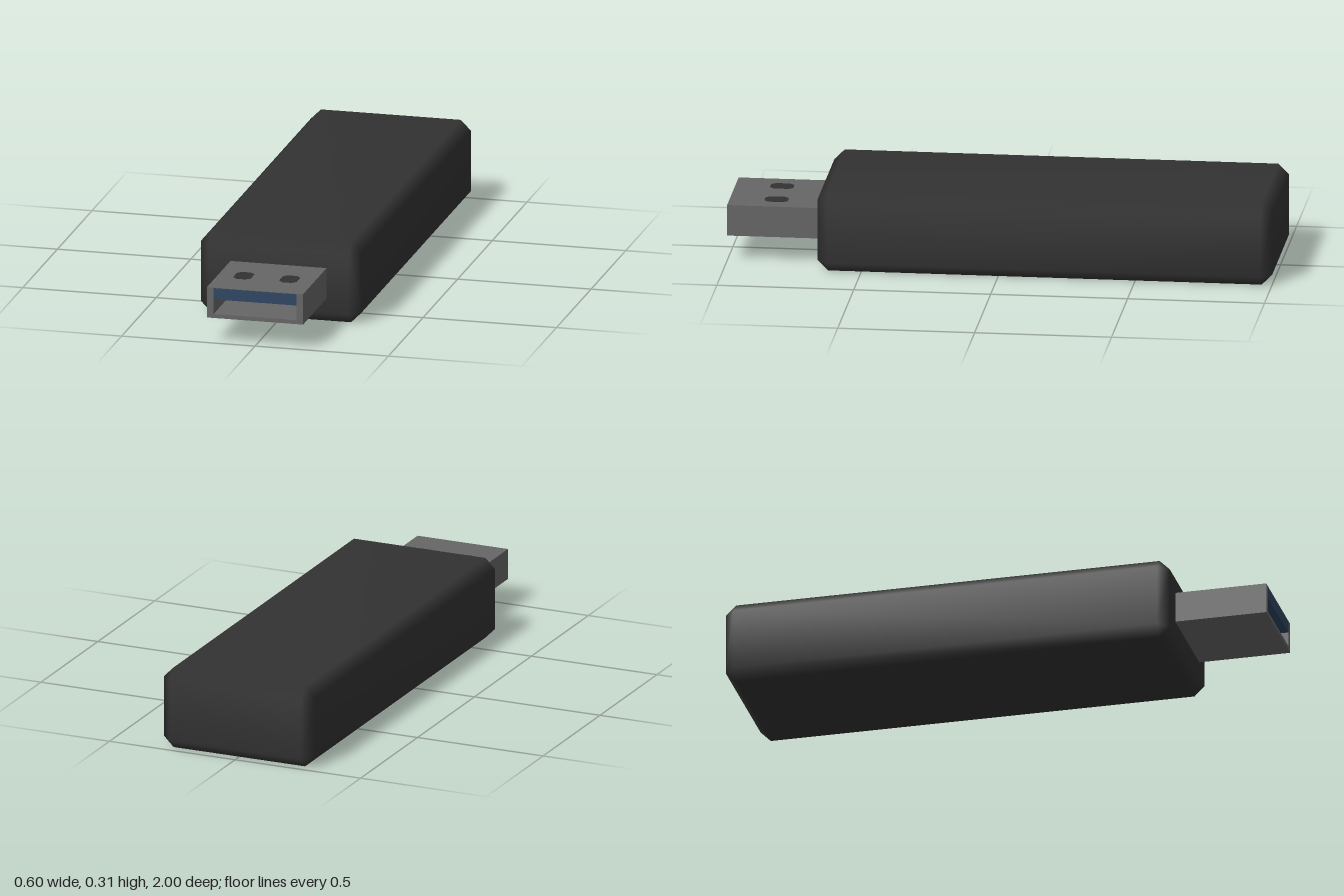
import * as THREE from 'three';
import { mergeVertices } from 'three/addons/utils/BufferGeometryUtils.js';
import { ConvexGeometry } from 'three/addons/geometries/ConvexGeometry.js';

// Box with every edge chamfered and softly shaded across the chamfers
function chamferedBox(w, h, d, c) {
  const half = [w / 2, h / 2, d / 2];
  const points = [];
  for (const sx of [-1, 1]) for (const sy of [-1, 1]) for (const sz of [-1, 1]) {
    const s = [sx, sy, sz];
    for (let axis = 0; axis < 3; axis++) {
      points.push(new THREE.Vector3(...s.map((v, i) => v * (half[i] - (i === axis ? 0 : c)))));
    }
  }
  const raw = new ConvexGeometry(points);
  raw.deleteAttribute('normal');
  const geometry = mergeVertices(raw, 1e-4);
  geometry.computeVertexNormals();
  return geometry;
}

// Traces a rectangle onto a shape or path
function rectangle(path, x0, y0, x1, y1) {
  path.moveTo(x0, y0);
  path.lineTo(x1, y0);
  path.lineTo(x1, y1);
  path.lineTo(x0, y1);
  path.closePath();
  return path;
}

export function createModel() {
  const model = new THREE.Group();
  model.name = 'usbStick';

  const blackPlastic = new THREE.MeshStandardMaterial({ color: 0x323232 });
  blackPlastic.name = 'blackPlastic';
  const greyMetal = new THREE.MeshStandardMaterial({ color: 0x666666 });
  greyMetal.name = 'greyMetal';
  const bluePlastic = new THREE.MeshStandardMaterial({ color: 0x2f4663 });
  bluePlastic.name = 'bluePlastic';

  const add = (name, geometry, material, x = 0, y = 0, z = 0) => {
    const mesh = new THREE.Mesh(geometry, material);
    mesh.name = name;
    mesh.position.set(x, y, z);
    model.add(mesh);
    return mesh;
  };

  // Plastic housing
  add('body', chamferedBox(0.6, 0.305, 1.66, 0.038), blackPlastic, 0, 0.1525, -0.17);

  // Hollow metal sleeve, open at the front
  const sleeve = rectangle(new THREE.Shape(), -0.18, 0.095, 0.18, 0.21);
  sleeve.holes.push(rectangle(new THREE.Path(), -0.155, 0.11, 0.155, 0.208));
  add('connectorSleeve',
    new THREE.ExtrudeGeometry(sleeve, { depth: 0.35, bevelEnabled: false }),
    greyMetal, 0, 0, 0.65);

  // Contact tongue filling the upper part of the sleeve
  add('contactTongue', new THREE.BoxGeometry(0.309, 0.043, 0.349), bluePlastic, 0, 0.1865, 0.8245);

  // Dark latch openings on top of the sleeve
  const w = 0.0325, l = 0.0425, c = 0.016;
  const opening = new THREE.Shape([
    [w, l - c], [w - c, l], [c - w, l], [-w, l - c],
    [-w, c - l], [c - w, -l], [w - c, -l], [w, c - l],
  ].map(([x, y]) => new THREE.Vector2(x, y)));
  const openingGeometry = new THREE.ExtrudeGeometry(opening, { depth: 0.002, bevelEnabled: false });
  openingGeometry.rotateX(-Math.PI / 2);
  for (const side of [-1, 1]) {
    add(side < 0 ? 'rightLatchOpening' : 'leftLatchOpening',
      openingGeometry, blackPlastic, side * 0.086, 0.2095, 0.83);
  }

  return model;
}
